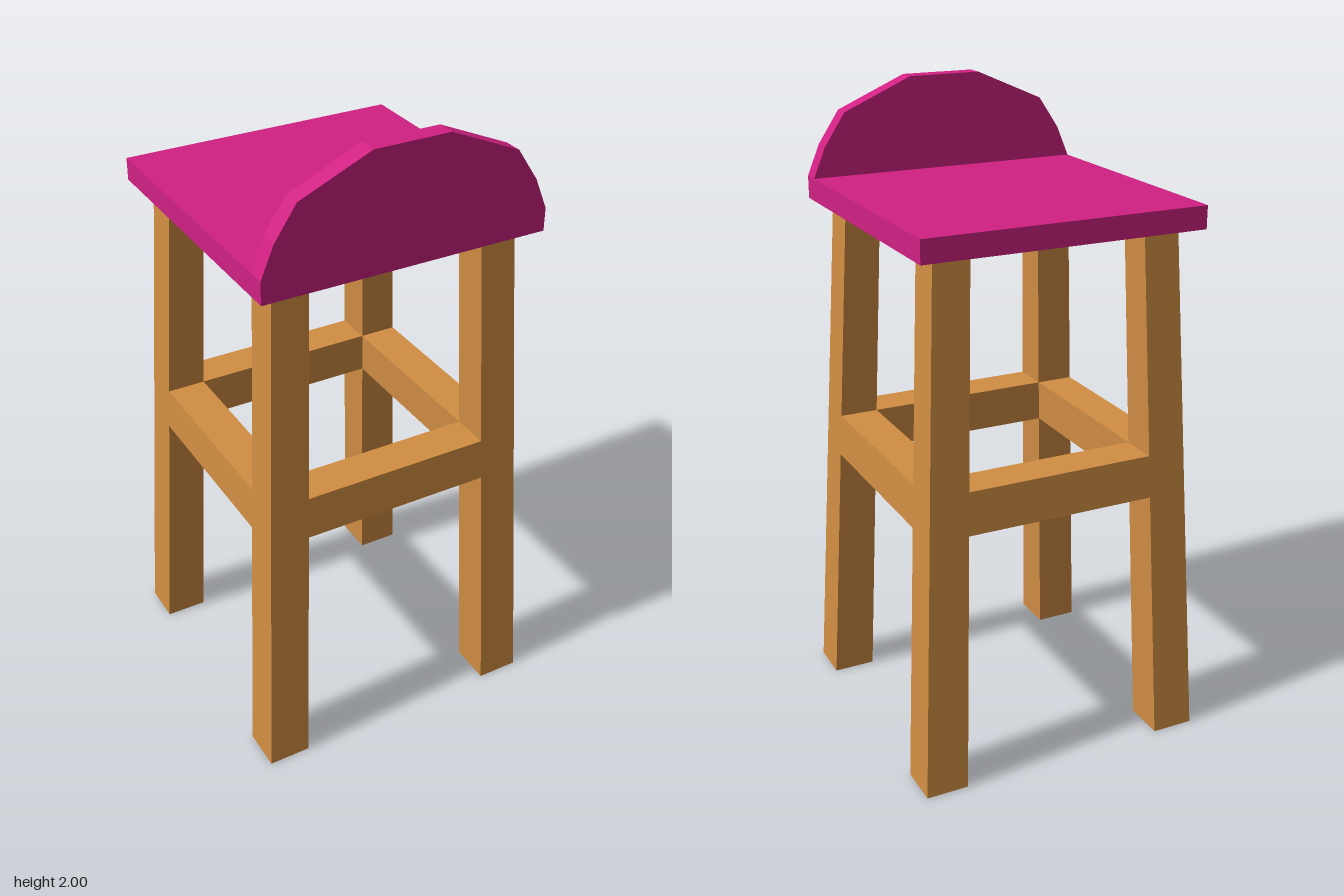
import * as THREE from 'three';

const wood = new THREE.MeshStandardMaterial({ color: 0xd18e43, flatShading: true });
const paint = new THREE.MeshStandardMaterial({ color: 0xd12183, flatShading: true });

const SEAT_BOTTOM = 1.64, SEAT_TOP = 1.71, SEAT_HALF = 0.443;

// Distance of the legs' outer and inner faces from the centre at height y
const outer = (y) => THREE.MathUtils.lerp(0.466, 0.385, y / SEAT_BOTTOM);
const inner = (y) => THREE.MathUtils.lerp(0.332, 0.273, y / SEAT_BOTTOM);

// Box between two heights whose x and z ranges change with height
function taperedBar(name, y0, y1, xRange, zRange) {
  const geometry = new THREE.BoxGeometry(1, 1, 1);
  const p = geometry.attributes.position;
  for (let i = 0; i < p.count; i++) {
    const y = p.getY(i) < 0 ? y0 : y1;
    const x = xRange(y)[p.getX(i) < 0 ? 0 : 1];
    const z = zRange(y)[p.getZ(i) < 0 ? 0 : 1];
    p.setXYZ(i, x, y, z);
  }
  geometry.computeVertexNormals();
  const mesh = new THREE.Mesh(geometry, wood);
  mesh.name = name;
  return mesh;
}

export function createModel() {
  const stool = new THREE.Group();
  stool.name = 'stool';

  // Splayed legs and a ring of rails flush with them, one of each per quarter turn
  const legRange = (y) => [inner(y), outer(y)];
  const railSpan = (y) => [-inner(y), inner(y)];
  for (let i = 0; i < 4; i++) {
    const quarter = new THREE.Group();
    quarter.name = `legAndRail${i + 1}`;
    quarter.add(
      taperedBar('leg', 0, SEAT_BOTTOM, legRange, legRange),
      taperedBar('rail', 0.82, 0.955, railSpan, legRange),
    );
    quarter.rotation.y = (i * Math.PI) / 2;
    stool.add(quarter);
  }

  // Flat square seat
  const seat = new THREE.Mesh(
    new THREE.BoxGeometry(SEAT_HALF * 2, SEAT_TOP - SEAT_BOTTOM, SEAT_HALF * 2), paint);
  seat.name = 'seat';
  seat.position.y = (SEAT_BOTTOM + SEAT_TOP) / 2;
  stool.add(seat);

  // Faceted arched backrest along the +z edge
  const half = [[SEAT_HALF, SEAT_TOP], [0.403, 1.805], [0.336, 1.905], [0.117, 2]];
  const outline = [...half, ...half.map(([x, y]) => [-x, y]).reverse()];
  const shape = new THREE.Shape(outline.map(([x, y]) => new THREE.Vector2(x, y)));
  const depth = 0.057;
  const backrest = new THREE.Mesh(
    new THREE.ExtrudeGeometry(shape, { depth, bevelEnabled: false }), paint);
  backrest.name = 'backrest';
  backrest.position.z = SEAT_HALF - depth;
  stool.add(backrest);

  return stool;
}
